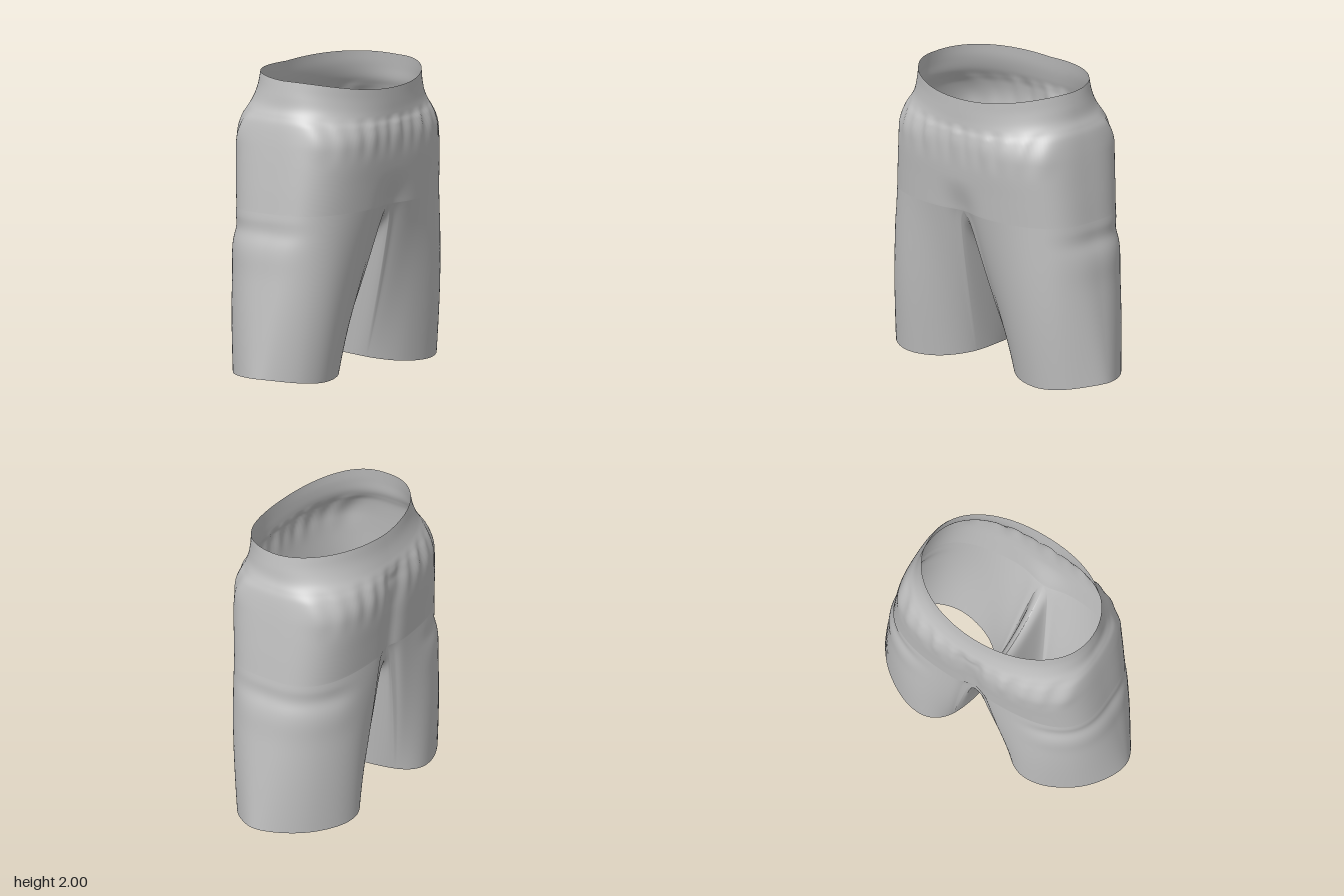
import * as THREE from 'three';
import { mergeVertices } from 'three/addons/utils/BufferGeometryUtils.js';

const { smoothstep, lerp } = THREE.MathUtils;
const bell = (v, centre, width) => Math.exp(-(((v - centre) / width) ** 2));
const V = (x, y, z) => new THREE.Vector3(x, y, z);

const ARC = 100, INNER = 40, TORSO_ROWS = 60, LEG_ROWS = 50;

// torso profile, top to bottom: height, half width, front depth, back depth
const PROFILE = [
  [2.0, 0.632, 0.47, -0.415],
  [1.9, 0.648, 0.47, -0.43],
  [1.82, 0.66, 0.47, -0.45],
  [1.76, 0.682, 0.473, -0.47],
  [1.7, 0.704, 0.485, -0.486],
  [1.6, 0.723, 0.492, -0.495],
  [1.45, 0.742, 0.487, -0.487],
  [1.28, 0.763, 0.469, -0.468],
  [1.12, 0.78, 0.452, -0.451],
];
const widthCurve = new THREE.CatmullRomCurve3(PROFILE.map(([y, w]) => V(w, y, 0)), false, 'catmullrom');
const depthCurve = new THREE.CatmullRomCurve3(PROFILE.map(([y, , f, b]) => V(f, y, b)), false, 'catmullrom');

// left hem outline, from the front round the outer side and the back (x, z)
const HEM = [
  [0.55, 0.31], [0.73, 0.265], [0.86, 0.14], [0.92, 0], [0.865, -0.16], [0.73, -0.315],
  [0.53, -0.425], [0.35, -0.435], [0.22, -0.33], [0.15, -0.1], [0.175, 0.1], [0.33, 0.25],
];
const hemCurve = new THREE.CatmullRomCurve3(HEM.map(([x, z]) => V(x, 0, z)), true, 'catmullrom');

// angles from front (0) to back (PI), closer together at front, side and back
const ANGLES = Array.from({ length: ARC + 1 }, (_, i) => {
  const a = (Math.PI * i) / ARC;
  return a - 0.18 * Math.sin(4 * a);
});

// one point of the left half of the torso
function torsoPoint(t, angle) {
  const { x: w, y: level } = widthCurve.getPoint(t);
  const { x: front, z: back } = depthCurve.getPoint(t);
  const s = Math.max(0, Math.sin(angle)), c = Math.cos(angle);
  const power = lerp(0.94, 0.64, smoothstep(2 - level, 0.05, 0.45));
  const mid = (front + back) / 2, half = (front - back) / 2;
  let x = s < 1e-6 ? 0 : w * s ** power;
  let z = mid + half * Math.sign(c) * Math.abs(c) ** power;

  // waistline dips at the front
  const dip = c > 0 ? 0.015 + 0.08 * c ** 2.2 : 0.015 * (1 - Math.abs(Math.sin(2 * angle)));
  const y = level - dip * smoothstep(level, 1.45, 2.0);

  // gathers under the waistband, strongest at front and back
  const gather = smoothstep(level, 1.42, 1.66) * (1 - smoothstep(level, 1.7, 1.8));
  const fold = 0.007 * gather * (0.3 + 0.7 * Math.abs(c)) * (Math.cos(x * 48) + 0.6 * Math.sin(x * 29 + 1));
  x += fold * s;
  z += fold * c;

  // seams down the centre of the seat and above the crotch
  if (c < 0) z += bell(x, 0, 0.08) * 0.035 * (1 - smoothstep(level, 1.65, 1.8));
  else z -= bell(x, 0, 0.13) * 0.04 * (1 - smoothstep(level, 1.08, 1.36));
  return V(x, y, z);
}

// one point of the left hem; angle 0 is front, a quarter turn the outer side
function hemPoint(angle) {
  const c = Math.cos(angle), turn = angle / (2 * Math.PI);
  const p = hemCurve.getPoint(turn - Math.floor(turn));
  p.y = 0.04 - (c > 0 ? 0.04 : 0.02) * c * c + 0.025 * Math.max(0, -Math.sin(angle)) ** 3;
  return p;
}

// torso rows as open arcs from front centre to back centre
function halfTorso() {
  return Array.from({ length: TORSO_ROWS + 1 }, (_, r) =>
    ANGLES.map((angle) => torsoPoint(r / TORSO_ROWS, angle)));
}

// leg rows as closed rings from the torso edge and crotch down to the hem
function leg(topArc) {
  const front = topArc[0], back = topArc[ARC];
  // seam passing under the crotch, from back to front
  const crotch = new THREE.CatmullRomCurve3([
    back, V(0, 1.0, -0.395), V(0, 0.93, -0.3), V(0, 0.875, -0.16),
    V(0, 0.84, -0.02), V(0, 0.87, 0.14), V(0, 0.95, 0.28), V(0, 1.04, 0.37), front,
  ]);
  const top = [...topArc];
  const turns = ANGLES.map((a) => (a * 5) / 3 - Math.PI / 3);
  for (let i = 1; i <= INNER; i++) {
    top.push(i === INNER ? front.clone() : crotch.getPoint(i / INNER));
    turns.push((4 * Math.PI) / 3 + (Math.PI * i) / (3 * INNER));
  }
  const rows = [];
  for (let r = 0; r <= LEG_ROWS; r++) {
    const t = (r / LEG_ROWS) ** 1.5;
    rows.push(top.map((p, i) => {
      const s = Math.sin(turns[i]), c = Math.cos(turns[i]);
      const q = p.clone().lerp(hemPoint(turns[i]), t);
      // rounded arch between the thighs
      q.x += 0.035 * bell(p.x, 0, 0.09) * (1 - Math.exp(-t / 0.04)) * (1 - t);
      // fullness at mid leg
      const full = Math.sin(Math.PI * t);
      q.x += 0.008 * full * Math.max(0, s);
      q.z += 0.022 * full * c;
      // soft fold under the seat, reaching round to the outer side
      const reach = Math.min(1, Math.max(0, s) + Math.max(0, -c)) * smoothstep(s, -0.7, 0.1) * (c > 0 ? 1 - c : 1);
      const fold = (0.008 * bell(q.y, 0.85, 0.11) - 0.011 * bell(q.y, 0.99, 0.06)) * reach * smoothstep(t, 0, 0.08);
      q.x += fold * s;
      q.z += fold * c;
      return q;
    }));
  }
  return rows;
}

// joins rows of points into faces on both sides of the body
function addRows(rows, positions) {
  const face = (a, b, c) => {
    for (const p of [a, b, c]) positions.push(p.x, p.y, p.z);
    for (const p of [a, c, b]) positions.push(-p.x, p.y, p.z);
  };
  for (let r = 0; r < rows.length - 1; r++) {
    for (let i = 0; i < rows[r].length - 1; i++) {
      const a = rows[r][i], b = rows[r + 1][i], c = rows[r + 1][i + 1], d = rows[r][i + 1];
      face(a, b, c);
      face(a, c, d);
    }
  }
}

export function createModel() {
  const fabric = new THREE.MeshStandardMaterial({ color: 0xc0c0c0, side: THREE.DoubleSide });
  fabric.name = 'grey fabric';

  const torso = halfTorso();
  // centre points lie exactly on the mirror plane
  for (const row of torso) row[0].x = row[ARC].x = 0;
  const positions = [];
  addRows(torso, positions);
  addRows(leg(torso[TORSO_ROWS]), positions);

  let geometry = new THREE.BufferGeometry();
  geometry.setAttribute('position', new THREE.Float32BufferAttribute(positions, 3));
  geometry = mergeVertices(geometry, 1e-4);
  geometry.computeVertexNormals();

  const shorts = new THREE.Mesh(geometry, fabric);
  shorts.name = 'shorts';
  const model = new THREE.Group();
  model.name = 'gathered shorts';
  model.add(shorts);
  return model;
}
